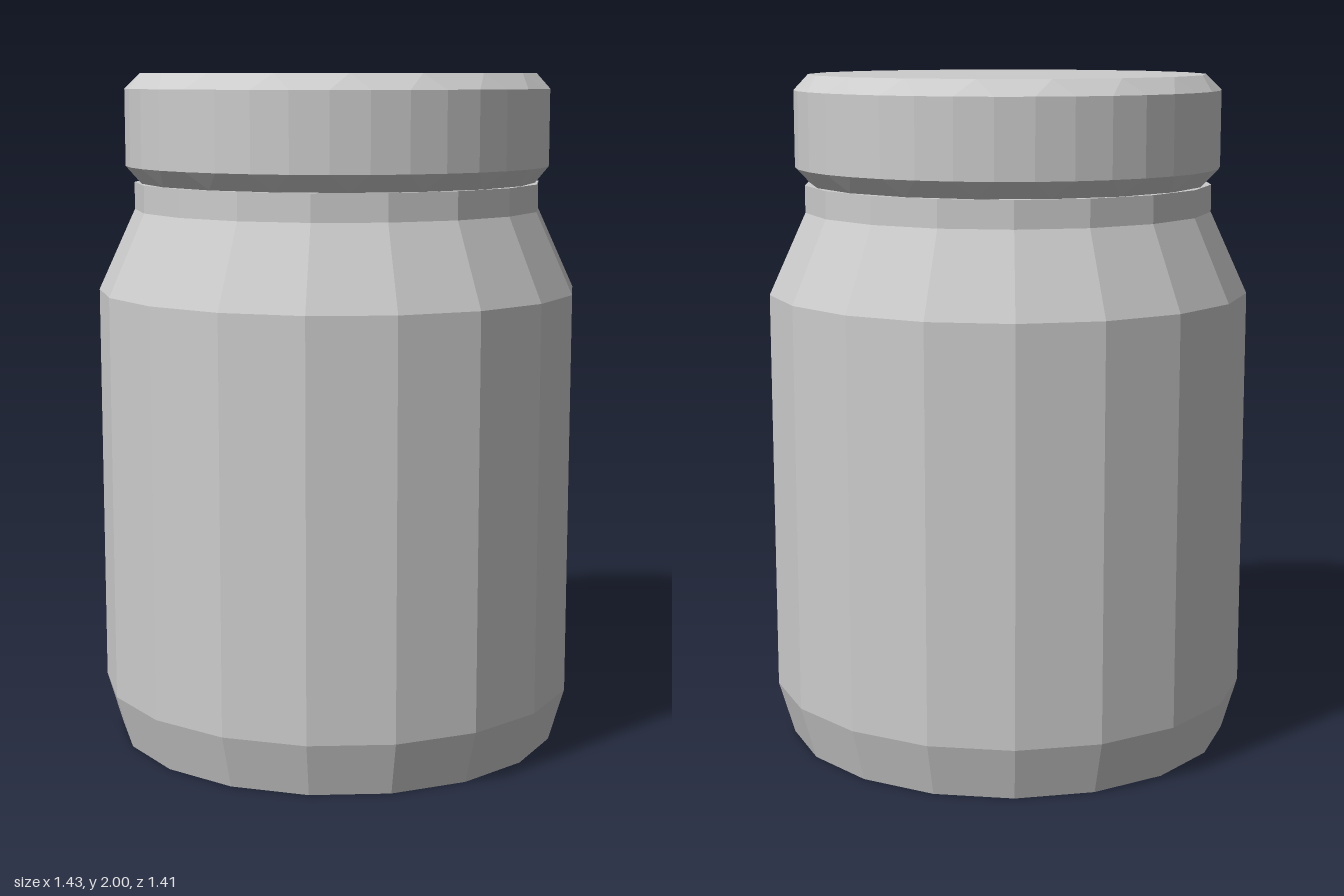
import * as THREE from 'three';

const SIDES = 18;

// Faceted solid turned from [radius, height] points, bottom to top
function turned(profile, segments, turn) {
  const points = profile.map(([r, y]) => new THREE.Vector2(r, y));
  const geometry = new THREE.LatheGeometry(points, segments);
  geometry.rotateY(turn);
  return geometry;
}

export function createModel() {
  const grey = new THREE.MeshStandardMaterial({ color: 0xcccccc, flatShading: true });
  grey.name = 'light grey';

  const model = new THREE.Group();
  model.name = 'jar';

  // Body: 18 sides, with a corner on the x axis
  const bodyProfile = [
    [0, 0], [0.67, 0], [0.717, 0.16], [0.717, 1.36], [0.607, 1.6], [0.607, 1.68], [0, 1.68],
  ];
  const body = new THREE.Mesh(turned(bodyProfile, SIDES, Math.PI / 2), grey);
  body.name = 'jarBody';
  model.add(body);

  // Lid: 36-sided wall whose corners pair up into 18-sided top and bottom rims
  const lidProfile = [
    [0, 1.68], [0.59, 1.68], [0.632, 1.73], [0.632, 1.955], [0.59, 2], [0, 2],
  ];
  const lidGeometry = turned(lidProfile, SIDES * 2, Math.PI / SIDES / 2);
  const position = lidGeometry.attributes.position;
  const step = (Math.PI * 2) / SIDES;
  for (let i = 0; i < position.count; i++) {
    const x = position.getX(i), y = position.getY(i), z = position.getZ(i);
    if (y > 1.7 && y < 1.98) continue;
    const radius = Math.hypot(x, z);
    const angle = Math.round(Math.atan2(x, z) / step) * step;
    position.setXYZ(i, Math.sin(angle) * radius, y, Math.cos(angle) * radius);
  }
  lidGeometry.computeVertexNormals();
  const lid = new THREE.Mesh(lidGeometry, grey);
  lid.name = 'lid';
  model.add(lid);

  return model;
}
